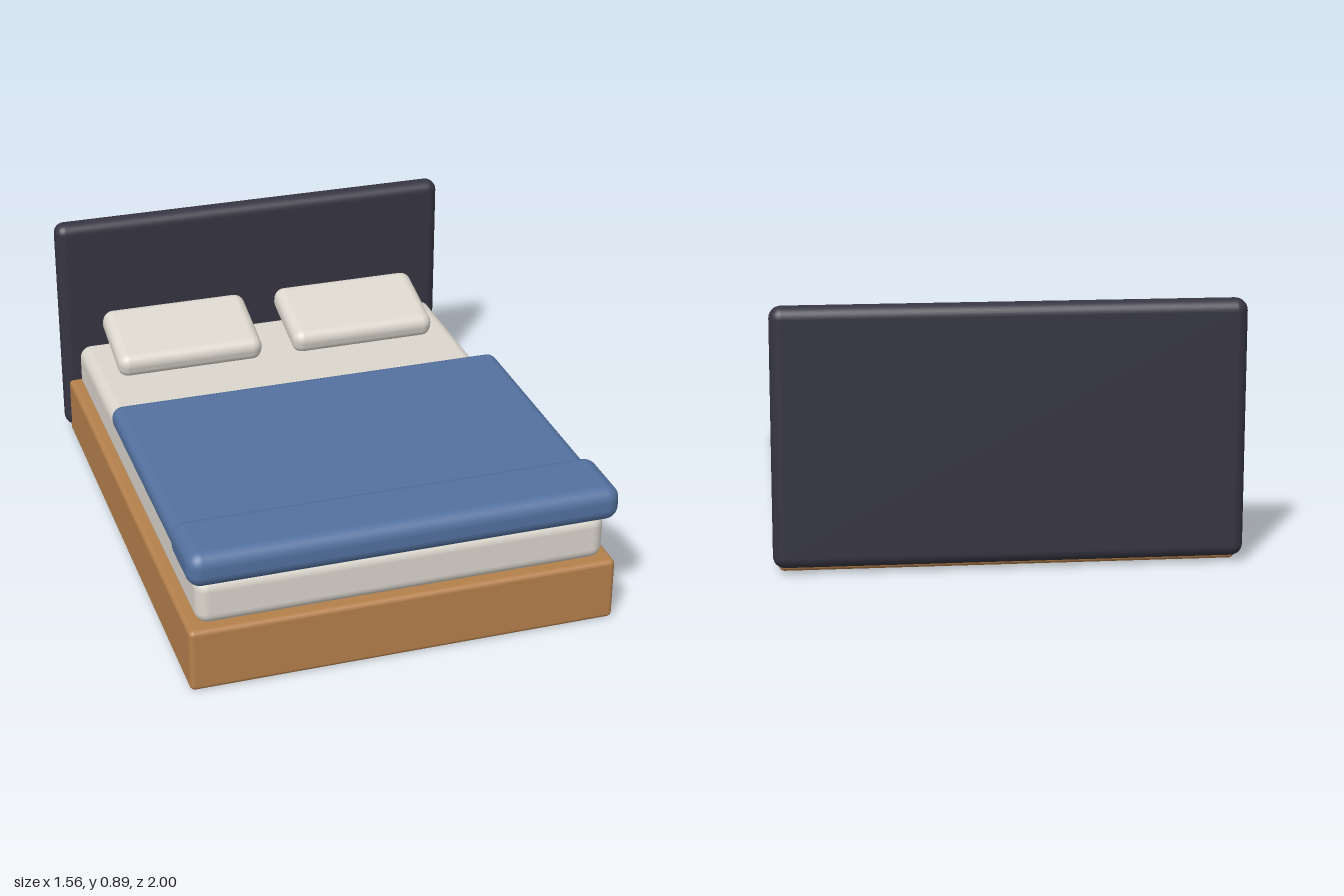
import * as THREE from 'three';
import { RoundedBoxGeometry } from 'three/addons/geometries/RoundedBoxGeometry.js';

function material(name, color) {
  const m = new THREE.MeshStandardMaterial({ color });
  m.name = name;
  return m;
}

export function createModel() {
  const bed = new THREE.Group();
  bed.name = 'bed';

  const wood = material('warm wood', 0xb5804c);
  const linen = material('off-white linen', 0xdbd6cd);
  const blue = material('blue blanket', 0x53719f);
  const dark = material('dark upholstery', 0x363542);

  // Rounded block given by its [min, max] range on each axis
  function block(name, mat, [x0, x1], [y0, y1], [z0, z1], radius) {
    const geometry = new RoundedBoxGeometry(x1 - x0, y1 - y0, z1 - z0, 5, radius);
    const mesh = new THREE.Mesh(geometry, mat);
    mesh.name = name;
    mesh.position.set((x0 + x1) / 2, (y0 + y1) / 2, (z0 + z1) / 2);
    bed.add(mesh);
    return mesh;
  }

  // Frame and headboard
  block('bedFrame', wood, [-0.76, 0.76], [0, 0.232], [-0.945, 0.98], 0.018);
  block('headboard', dark, [-0.78, 0.78], [0.02, 0.89], [-1, -0.912], 0.04);

  // Mattress and bedding
  block('mattress', linen, [-0.725, 0.725], [0.23, 0.405], [-0.88, 0.955], 0.045);
  block('blanket', blue, [-0.75, 0.75], [0.4, 0.49], [-0.187, 0.95], 0.04);
  block('blanketFold', blue, [-0.76, 0.76], [0.4, 0.528], [0.73, 1], 0.05);

  // Pillows, tilted up toward the headboard
  for (const side of [-1, 1]) {
    const name = side > 0 ? 'leftPillow' : 'rightPillow';
    const pillow = block(name, linen, [-0.285, 0.285], [0.426, 0.524], [-0.863, -0.533], 0.042);
    pillow.position.x = side * 0.348;
    pillow.rotation.x = 0.26;
  }

  return bed;
}
